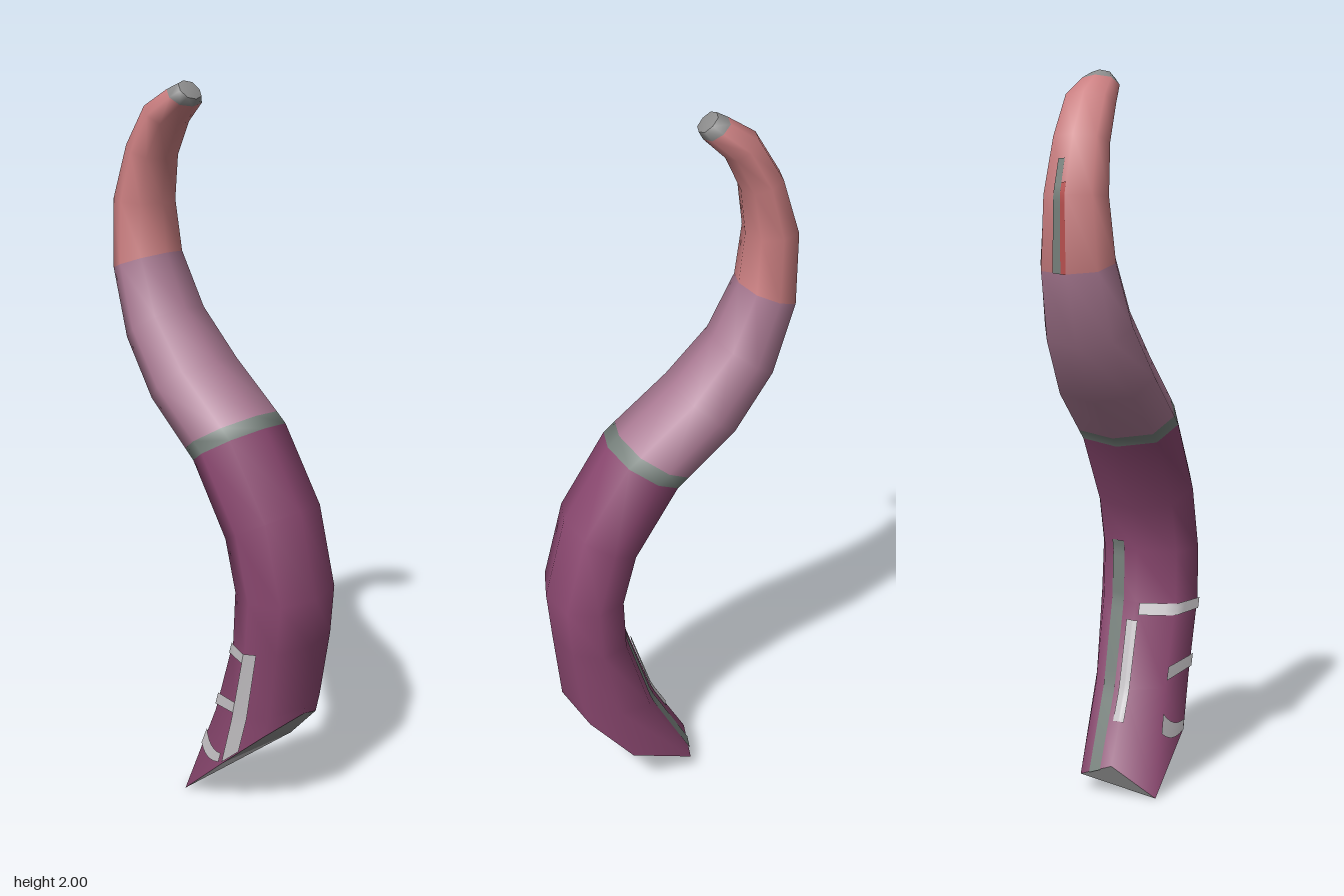
import * as THREE from 'three';

const N = 8; // sides of the tube
const DIAG = 0.745; // slightly boxy ellipse

// Stations from base to tip: inner edge x,y, outer edge x,y, half width in z
const stations = [
  [0.05, 0.28, 0.322, 0.34, 0.142],
  [0.13, 0.52, 0.342, 0.53, 0.15],
  [0.135, 0.67, 0.355, 0.67, 0.148],
  [0.1, 0.8, 0.295, 0.905, 0.147],
  [-0.02, 0.995, 0.165, 1.11, 0.147],
  [-0.05, 1.022, 0.132, 1.138, 0.147],
  [-0.18, 1.135, -0.02, 1.265, 0.143],
  [-0.29, 1.29, -0.135, 1.39, 0.125],
  [-0.355, 1.48, -0.205, 1.535, 0.105],
  [-0.36, 1.68, -0.22, 1.67, 0.09],
  [-0.31, 1.83, -0.205, 1.79, 0.08],
  [-0.24, 1.94, -0.16, 1.88, 0.073],
  [-0.165, 1.985, -0.1, 1.935, 0.055],
  [-0.135, 2.0, -0.088, 1.955, 0.035],
];

// Slanted cut at the base, in the same corner order as the rings
const baseRing = [
  [0.32, 0.32, 0], [0.27, 0.27, 0.11], [0.145, 0.155, 0.142], [-0.025, 0, 0.12],
  [-0.06, 0.09, 0], [-0.045, 0.05, -0.1], [0.15, 0.145, -0.142], [0.27, 0.27, -0.11],
].map((p) => new THREE.Vector3(...p));

function ring([lx, ly, rx, ry, w]) {
  return Array.from({ length: N }, (_, i) => {
    const a = (i / N) * Math.PI * 2;
    const k = i % 2 ? DIAG / Math.SQRT1_2 : 1;
    const c = Math.cos(a) * k / 2;
    return new THREE.Vector3((lx + rx) / 2 + c * (rx - lx), (ly + ry) / 2 + c * (ry - ly), w * Math.sin(a) * k);
  });
}

const rings = [baseRing, ...stations.map(ring)];

function centre(r) {
  return r.reduce((s, p) => s.add(p), new THREE.Vector3()).divideScalar(N);
}

// Point on the skin at station s and side i, lifted outwards
function skin(s, i, lift) {
  const s0 = Math.min(Math.floor(s), rings.length - 2), i0 = Math.floor(i);
  const side = (r) => r[i0 % N].clone().lerp(r[(i0 + 1) % N], i - i0);
  const p = side(rings[s0]).lerp(side(rings[s0 + 1]), s - s0);
  const c = centre(rings[s0]).lerp(centre(rings[s0 + 1]), s - s0);
  return p.add(p.clone().sub(c).normalize().multiplyScalar(lift));
}

function fromPoints(points, index) {
  const g = new THREE.BufferGeometry().setFromPoints(points);
  g.setIndex(index);
  g.computeVertexNormals();
  return g;
}

// Indices of quads over a grid, facing outwards
function gridIndex(r0, r1, cols, closed) {
  const out = [], stride = closed ? cols : cols + 1;
  for (let r = r0; r < r1; r++) {
    for (let c = 0; c < cols; c++) {
      const d = closed ? (c + 1) % cols : c + 1;
      const a = r * stride + c, b = r * stride + d;
      out.push(a, b + stride, b, a, a + stride, b + stride);
    }
  }
  return out;
}

export function createModel() {
  const group = new THREE.Group();
  const material = (name, color) => {
    const m = new THREE.MeshStandardMaterial({ color });
    m.name = name;
    return m;
  };
  const purple = material('dark purple', 0x8b4870);
  const mauve = material('mauve', 0xaa7a93);
  const salmon = material('salmon', 0xca7e80);
  const red = material('red', 0xb8504f);
  const ringGrey = material('ring grey', 0x76807b);
  const grey = material('grey', 0x8c8c8c);
  const white = material('off white', 0xc6c3c6);

  function add(name, geometry, mat) {
    const mesh = new THREE.Mesh(geometry, mat);
    mesh.name = name;
    group.add(mesh);
  }

  // Curved body: one smooth skin, cut into coloured lengths
  const body = fromPoints(rings.flat(), gridIndex(0, rings.length - 1, N, true));
  const lengths = [
    ['lowerBody', 0, 5, purple], ['dividingRing', 5, 6, ringGrey],
    ['middleBody', 6, 9, mauve], ['upperBody', 9, 13, salmon], ['tipRim', 13, 14, grey],
  ];
  for (const [name, r0, r1, mat] of lengths) {
    const g = body.clone();
    g.setIndex(gridIndex(r0, r1, N, true));
    add(name, g, mat);
  }

  // Rounded end of the tip
  const top = rings[rings.length - 1];
  const tipIndex = [];
  for (let i = 0; i < N; i++) tipIndex.push(N, (i + 1) % N, i);
  add('tipCap', fromPoints([...top, centre(top).add(new THREE.Vector3(0.006, 0.006, 0))], tipIndex), grey);

  // Flat faces of the slanted base
  const cut = (name, corners, mat) => {
    const index = [];
    for (let i = 1; i < corners.length - 1; i++) index.push(0, i, i + 1);
    add(name, fromPoints(corners.map((c) => baseRing[c]), index), mat);
  };
  cut('baseCut', [6, 7, 0, 1, 2], grey);
  cut('footCut', [6, 2, 3, 5], white);
  cut('footEnd', [5, 3, 4], grey);

  // Thin painted plates that follow the skin; slope slants them along the body
  function plate(name, mat, s0, s1, i0, i1, slope = 0, lift = 0.006) {
    const rows = Math.ceil((s1 - s0) * 8) + 1, cols = 6, points = [];
    for (let r = 0; r <= rows; r++) {
      for (let c = 0; c <= cols; c++) {
        const s = s0 + ((s1 - s0) * r) / rows + (slope * c) / cols;
        points.push(skin(s, i0 + ((i1 - i0) * c) / cols, lift));
      }
    }
    add(name, fromPoints(points, gridIndex(0, rows, cols, false)), mat);
  }
  plate('frontMarkUpright', white, 0.05, 2, 1.6, 2);
  plate('frontMarkTopBar', white, 1.86, 2, 2, 3.9);
  plate('frontMarkMiddleBar', white, 1.1, 1.26, 2, 3);
  plate('frontMarkLowerBar', white, 0.1, 0.28, 2.1, 3, 0.5);
  plate('innerEdgeMark', white, 0.6, 1.8, 3.9, 4.2);
  plate('innerStripe', ringGrey, 0, 3.2, 4.35, 4.7, 0, 0.004);
  plate('upperStripe', ringGrey, 9, 10.6, 4.2, 4.5, 0, 0.003);
  plate('upperRedStripe', red, 9, 10.2, 4, 4.2, 0, 0.003);

  return group;
}
